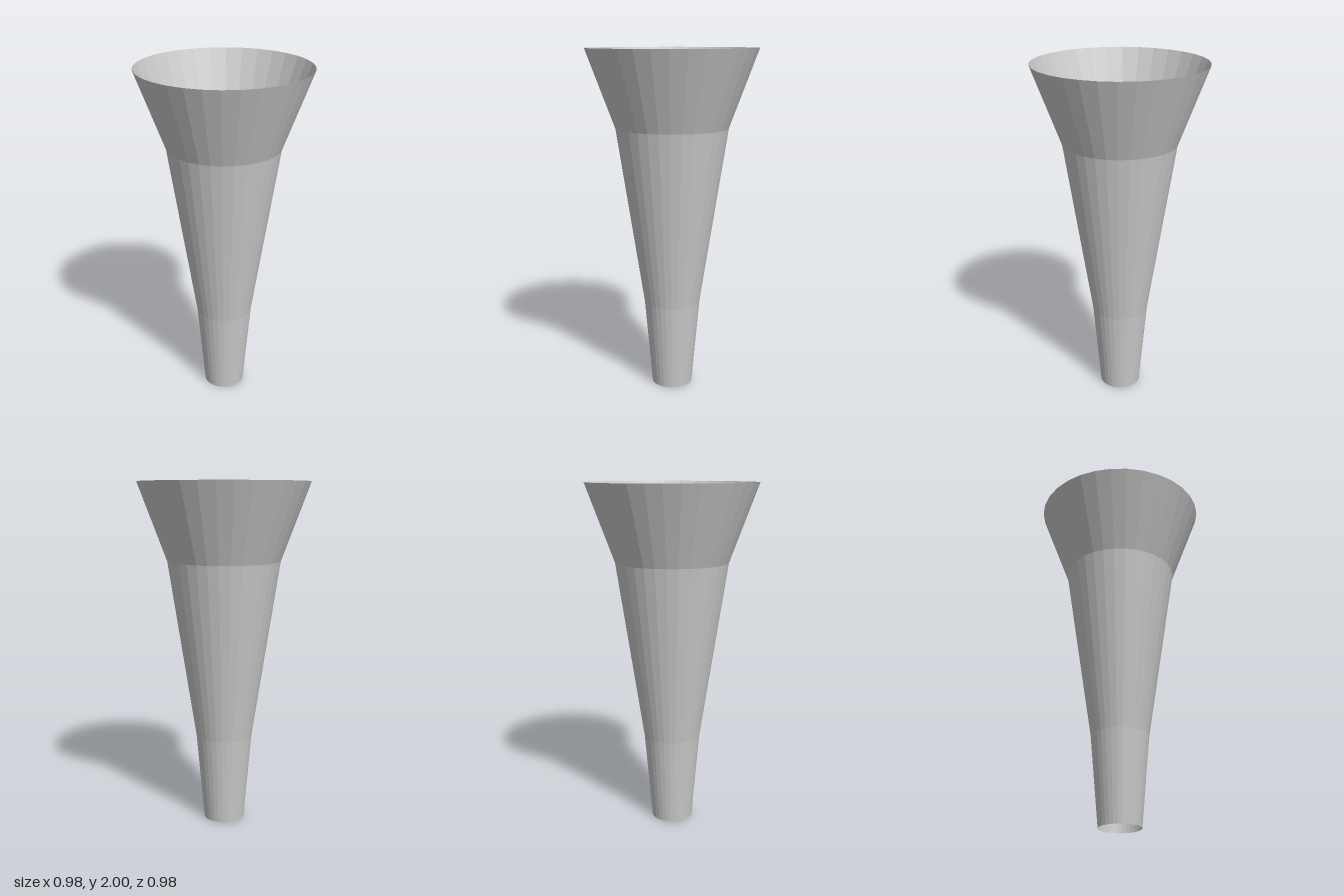
import * as THREE from 'three';

export function createModel() {
  const group = new THREE.Group();
  group.name = 'flaredFunnel';

  // Thin open wall: narrow spout, long taper, flared mouth
  const profile = [
    [0.12, 0],
    [0.165, 0.515],
    [0.325, 1.555],
    [0.49, 2],
  ].map(([radius, y]) => new THREE.Vector2(radius, y));

  const material = new THREE.MeshStandardMaterial({
    color: 0xcccccc,
    flatShading: true,
    side: THREE.DoubleSide,
  });

  const wall = new THREE.Mesh(new THREE.LatheGeometry(profile, 32), material);
  wall.name = 'funnelWall';
  group.add(wall);

  return group;
}
